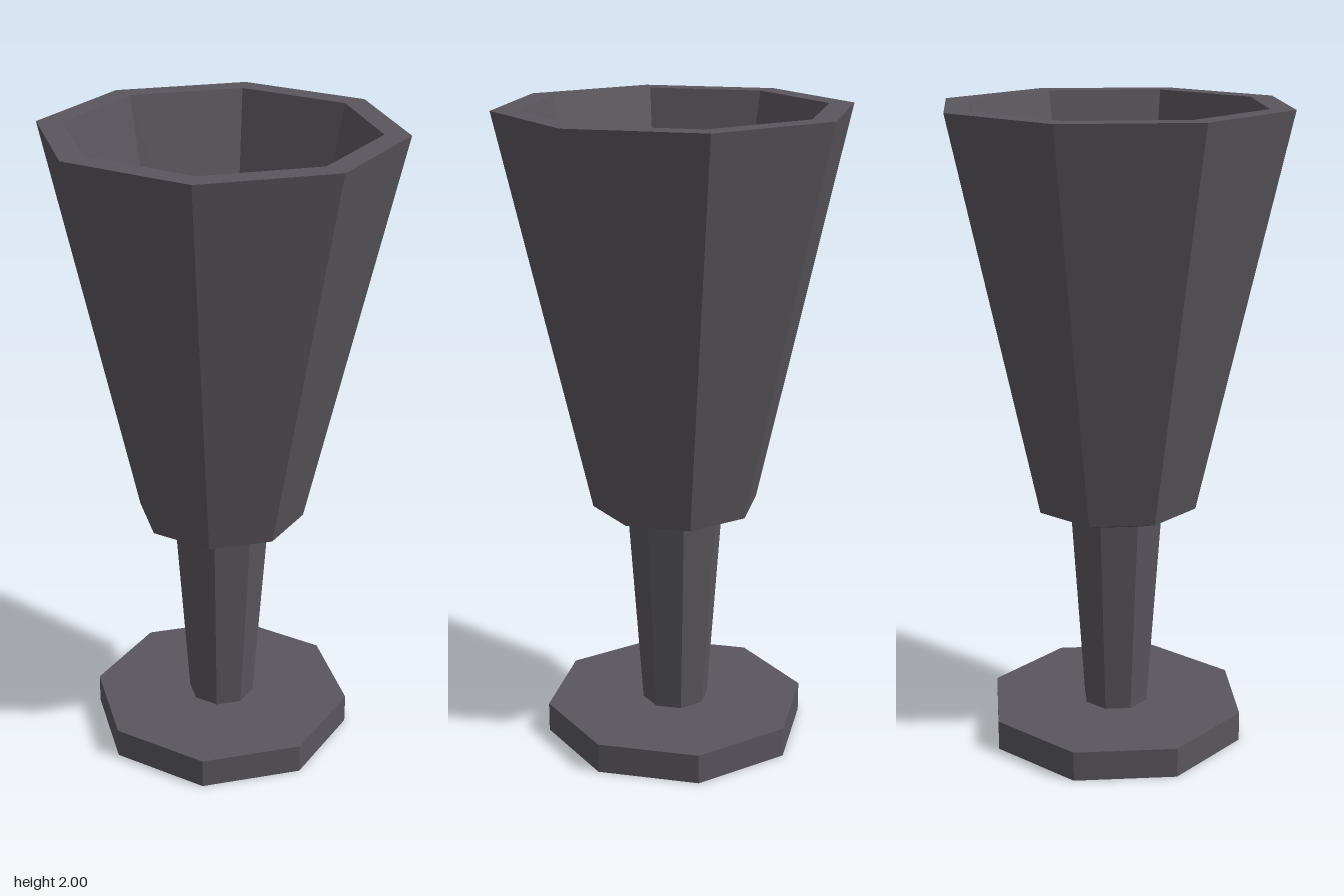
import * as THREE from 'three';

const SIDES = 8;

export function createModel() {
  const goblet = new THREE.Group();
  goblet.name = 'goblet';

  const darkMetal = new THREE.MeshStandardMaterial({ color: 0x59565d });
  darkMetal.name = 'dark metal';

  // Faceted octagonal part turned from a [radius, height] profile
  function addTurned(name, profile) {
    const points = profile.map(([r, y]) => new THREE.Vector2(r, y));
    const geometry = new THREE.LatheGeometry(points, SIDES).toNonIndexed();
    geometry.computeVertexNormals();
    const mesh = new THREE.Mesh(geometry, darkMetal);
    mesh.name = name;
    goblet.add(mesh);
  }

  // Flat foot plate
  addTurned('foot', [[0, 0], [0.415, 0], [0.415, 0.095], [0, 0.095]]);

  // Stem, widening towards the bowl
  addTurned('stem', [[0.105, 0.095], [0.15, 0.73]]);

  // Bowl: chamfered underside, flared wall, flat rim, inner wall and floor
  addTurned('bowl', [
    [0, 0.73], [0.15, 0.73], [0.26, 0.77], [0.54, 2],
    [0.463, 2], [0.241, 1.0], [0, 1.0],
  ]);

  return goblet;
}
